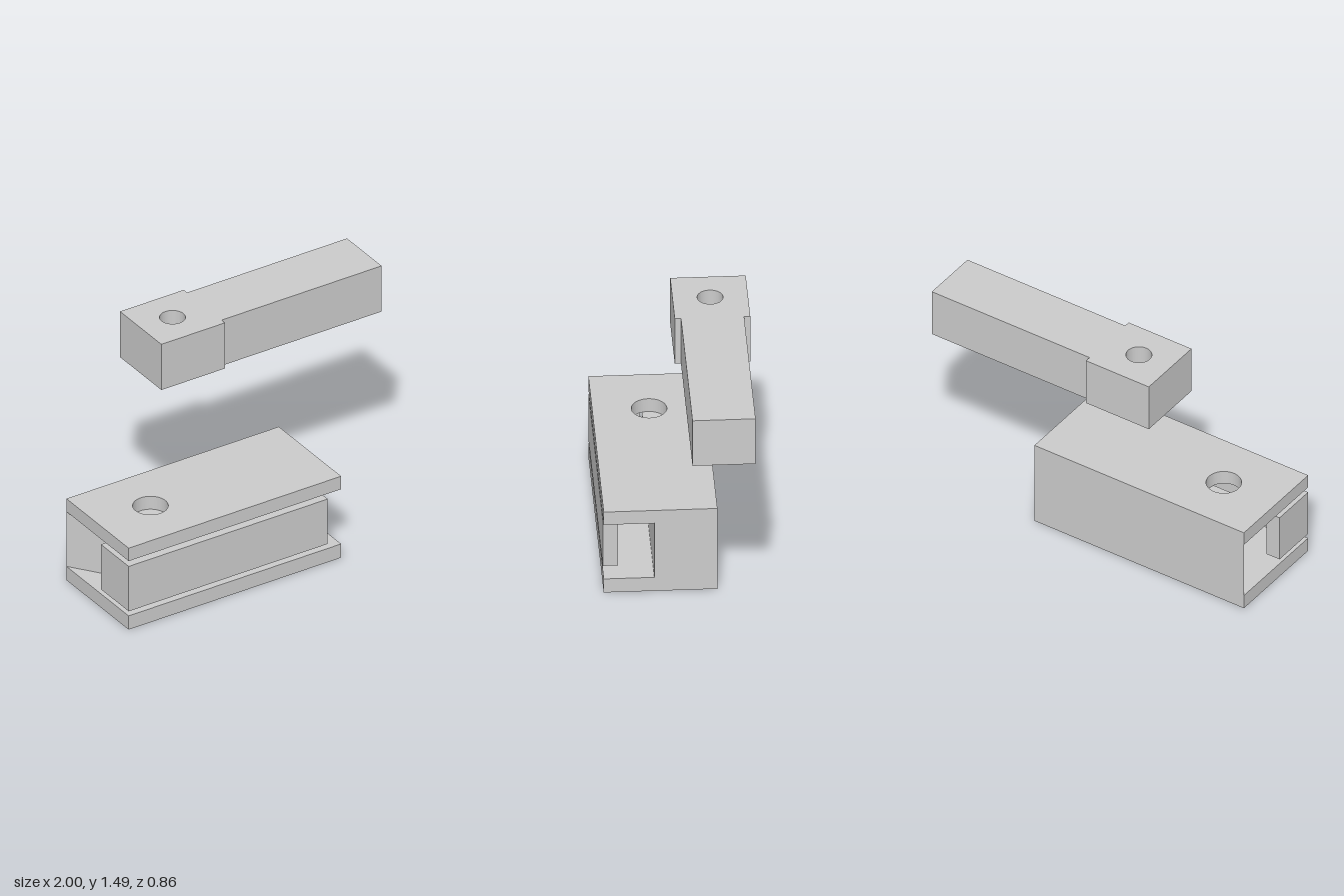
import * as THREE from 'three';
import { toCreasedNormals } from 'three/addons/utils/BufferGeometryUtils.js';

const material = new THREE.MeshStandardMaterial({ color: 0xcccccc });

// Outline drawn from [x, z] corners
function outline(points) {
  return new THREE.Shape(points.map(([x, z]) => new THREE.Vector2(x, -z)));
}

function addHole(shape, x, z, r) {
  shape.holes.push(new THREE.Path().absarc(x, -z, r, 0, Math.PI * 2, true));
  return shape;
}

// Raises a plan outline from height y0 to y1
function slab(name, shape, y0, y1) {
  const geo = new THREE.ExtrudeGeometry(shape, { depth: y1 - y0, bevelEnabled: false, curveSegments: 40 });
  geo.rotateX(-Math.PI / 2);
  geo.translate(0, y0, 0);
  const mesh = new THREE.Mesh(toCreasedNormals(geo, 0.6), material);
  mesh.name = name;
  return mesh;
}

export function createModel() {
  const model = new THREE.Group();
  model.name = 'hingedArmAndHousing';

  // Housing: x/z limits, channel depth and pivot hole
  const left = -1, right = 0.425, back = -0.215, front = 0.425, channel = 0.14;
  const holeX = -0.645, holeZ = 0.105, holeR = 0.1;
  const housing = new THREE.Group();
  housing.name = 'housing';

  // Top and bottom plates
  for (const [name, y0, y1] of [['bottomPlate', 0, 0.09], ['topPlate', 0.45, 0.535]]) {
    const plate = outline([[left, front], [right, front], [right, back], [left, back]]);
    housing.add(slab(name, addHole(plate, holeX, holeZ, holeR), y0, y1));
  }

  // Back wall, with the pivot hole breaking into the channel
  const a = Math.asin((channel - holeZ) / holeR);
  const wall = new THREE.Shape();
  wall.moveTo(left, -channel);
  wall.absarc(holeX, -holeZ, holeR, Math.PI + a, -a, true);
  wall.lineTo(right, -channel);
  wall.lineTo(right, -back);
  wall.lineTo(left, -back);
  wall.closePath();
  housing.add(slab('backWall', wall, 0.09, 0.45));

  // Hooked front finger: end wall plus a thin strip, free of both plates
  const t = 0.09;
  housing.add(slab('springFinger', outline([
    [left, front], [0.335, front], [0.335, 0.34],
    [left + t, 0.34], [left + t, channel], [left, channel],
  ]), 0.12, 0.415));
  model.add(housing);

  // Separate arm with a wider, drilled head
  const arm = outline([
    [-0.5, -0.005], [-0.073, -0.005], [-0.073, -0.04], [1, -0.04],
    [1, -0.395], [-0.073, -0.395], [-0.073, -0.43], [-0.5, -0.43],
  ]);
  model.add(slab('arm', addHole(arm, -0.287, -0.217, 0.073), 1.19, 1.49));

  return model;
}
